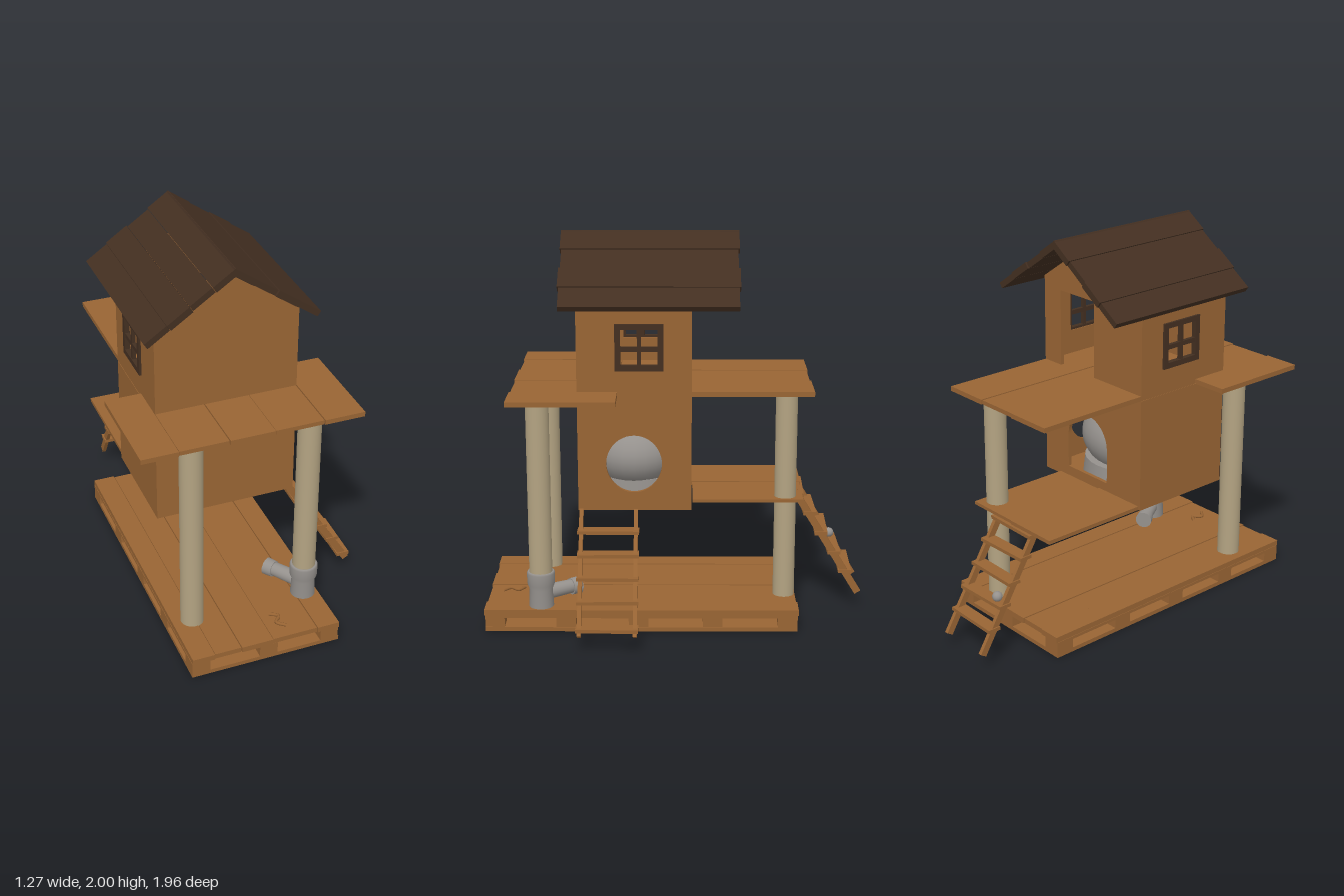
import * as THREE from 'three';

const mat = (name, color, side = THREE.FrontSide) => {
  const m = new THREE.MeshStandardMaterial({ color, side });
  m.name = name;
  return m;
};

export function createModel() {
  const root = new THREE.Group();
  root.name = 'twoStoreyPlayhouse';
  const wood = mat('wood', 0x996534);
  const dark = mat('darkWood', 0x432f21);
  const rope = mat('rope', 0xb3a382);
  const grey = mat('greyFabric', 0x95918d);

  const add = (name, geo, m, x = 0, y = 0, z = 0, parent = root) => {
    const mesh = new THREE.Mesh(geo, m);
    mesh.name = name;
    mesh.position.set(x, y, z);
    parent.add(mesh);
    return mesh;
  };
  // Box given by its minimum and maximum corners
  const box = (name, m, x0, x1, y0, y1, z0, z1, parent = root) =>
    add(name, new THREE.BoxGeometry(x1 - x0, y1 - y0, z1 - z0), m,
      (x0 + x1) / 2, (y0 + y1) / 2, (z0 + z1) / 2, parent);
  // Row of boards lying along z, split at the listed x values, with uneven ends
  const deck = (name, xs, y0, y1, z0, z1) => {
    const g = new THREE.Group();
    g.name = name;
    for (let i = 0; i < xs.length - 1; i++) {
      const e = (i % 2) * 0.006;
      box('board', wood, xs[i] + 0.002, xs[i + 1] - 0.002, y0, y1 - e * 0.5, z0 + e, z1 - e, g);
    }
    root.add(g);
  };
  const outline = (pts) => new THREE.Shape(pts.map(([a, b]) => new THREE.Vector2(a, b)));
  const rectPath = (a0, a1, b0, b1) => new THREE.Path(
    [[a0, b0], [a0, b1], [a1, b1], [a1, b0]].map(([a, b]) => new THREE.Vector2(a, b)));
  const T = 0.02; // wall thickness
  const panel = (shape) => new THREE.ExtrudeGeometry(shape, { depth: T, bevelEnabled: false, curveSegments: 24 });
  const X0 = -0.45, X1 = 0.28, Z0 = -0.08, Z1 = 0.49, MID = -0.085;

  // Pallet base
  deck('palletTop', [-0.45, -0.33, -0.19, -0.02, 0.22, 0.34], 0.085, 0.115, -0.63, 0.98);
  box('palletBottom', wood, -0.45, 0.34, 0, 0.022, -0.625, 0.975);
  for (const x of [-0.40, -0.04, 0.29]) {
    for (const z of [-0.575, -0.19, 0.19, 0.56, 0.925]) {
      box('palletBlock', wood, x - 0.05, x + 0.045, 0.022, 0.085, z - 0.05, z + 0.05);
    }
    box('palletStringer', wood, x - 0.05, x + 0.045, 0.07, 0.086, -0.62, 0.97);
  }

  // Middle floor and the rear landing
  box('lowerFloor', wood, X0, X1, 0.635, 0.655, Z0, Z1);
  deck('rearLanding', [-0.44, -0.14, 0.16], 0.635, 0.655, -0.66, Z0);
  for (const [dx, dz, r] of [[0, 0, 0.08], [0.1, 0.02, 0.05], [-0.08, 0.07, 0.05], [-0.03, -0.1, 0.05], [0.05, 0.1, 0.045]]) {
    add('floorPatch', new THREE.CylinderGeometry(r, r, 0.004, 16), dark, -0.065 + dx, 0.633, 0.085 + dz);
  }

  // Upper floor: wide front balcony, narrower rear terrace
  deck('frontBalcony', [-0.64, -0.45, -0.2, 0.03, 0.28, 0.49], 1.225, 1.25, 0.29, 0.825);
  deck('rearTerrace', [-0.45, -0.2, 0.03, 0.28], 1.225, 1.25, -0.69, 0.29);

  // Lower room: solid front and left, arched back entry, round side hole
  const lowY0 = 0.655, lowY1 = 1.225;
  box('lowerFrontWall', wood, X0, X1, lowY0, lowY1, Z1 - T, Z1);
  box('lowerLeftWall', wood, X0, X0 + T, lowY0, lowY1, Z0, Z1);
  const lowBack = outline([[X0, lowY0], [X1, lowY0], [X1, lowY1], [X0, lowY1]]);
  const arch = new THREE.Path();
  arch.moveTo(-0.2, 0.7);
  arch.lineTo(0.1, 0.7);
  arch.lineTo(0.1, 0.88);
  arch.absarc(-0.05, 0.88, 0.15, 0, Math.PI, false);
  arch.lineTo(-0.2, 0.7);
  lowBack.holes.push(arch);
  add('lowerBackWall', panel(lowBack), wood, 0, 0, Z0);
  const lowSide = outline([[Z0, lowY0], [Z1, lowY0], [Z1, lowY1], [Z0, lowY1]]);
  const hole = new THREE.Path();
  hole.absellipse(0.208, 0.878, 0.14, 0.148, 0, Math.PI * 2, true);
  lowSide.holes.push(hole);
  add('lowerSideWall', panel(lowSide).rotateY(-Math.PI / 2), wood, X1, 0, 0);

  // Soft cushion filling the lower room
  add('cushion', new THREE.SphereGeometry(1, 28, 18).scale(0.31, 0.2, 0.255), grey, -0.1, 0.86, 0.21);
  add('cushionSeat', new THREE.CylinderGeometry(0.25, 0.26, 0.1, 28), grey, -0.09, 0.706, 0.2);

  // Upper room: gabled ends, doorway at the back, window in each side
  const eave = 1.702, apex = 1.952, up = 1.25;
  const gable = (pts) => outline([[X0, up], ...pts, [X1, up], [X1, eave], [MID, apex], [X0, eave]]);
  add('upperFrontWall', panel(gable([])), wood, 0, 0, Z1 - T);
  add('upperBackWall', panel(gable([[-0.1, up], [-0.1, 1.65], [0.155, 1.65], [0.155, up]])), wood, 0, 0, Z0);
  for (const s of [0, 1]) {
    const side = outline([[Z0, up], [Z1, up], [Z1, eave], [Z0, eave]]);
    side.holes.push(rectPath(0.075, 0.285, 1.375, 1.575));
    add('upperSideWall', panel(side).rotateY(-Math.PI / 2), wood, s ? X1 : X0 + T, 0, 0);

    // Window frame with crossed bars
    const win = new THREE.Group();
    win.name = 'window';
    const a = s ? X1 - 0.015 : X0 - 0.012, b = a + 0.027;
    box('frameTop', dark, a, b, 1.565, 1.592, 0.06, 0.3, win);
    box('frameBottom', dark, a, b, 1.358, 1.387, 0.06, 0.3, win);
    box('frameRear', dark, a, b, 1.358, 1.592, 0.06, 0.088, win);
    box('frameFront', dark, a, b, 1.358, 1.592, 0.272, 0.3, win);
    box('uprightBar', dark, a + 0.004, b - 0.004, 1.37, 1.58, 0.17, 0.19, win);
    box('crossBar', dark, a + 0.004, b - 0.004, 1.455, 1.478, 0.07, 0.29, win);
    root.add(win);
  }

  // Plank roof, boards running front to back
  const slope = Math.atan(0.69), planks = 4, run = 0.443 / Math.cos(slope) / planks;
  for (const s of [-1, 1]) {
    const half = new THREE.Group();
    half.name = 'roofSlope';
    half.position.set(MID, 1.998, 0);
    half.rotation.z = -s * slope;
    for (let i = 0; i < planks; i++) {
      const e = (i % 2) * 0.008;
      const x0 = i * run - (i ? 0 : 0.003), x1 = (i + 1) * run - 0.002;
      box('roofPlank', dark, s > 0 ? x0 : -x1, s > 0 ? x1 : -x0, -0.034, -e * 0.4, -0.32 + e, 0.58 - e, half);
    }
    root.add(half);
  }

  // Rope-wrapped posts
  for (const [x, z, r] of [[-0.345, 0.69, 0.059], [0.265, 0.69, 0.059], [0.088, -0.565, 0.056]]) {
    add('post', new THREE.CylinderGeometry(r, r, 1.12, 24), rope, x, 0.67, z);
  }

  // Grey sleeve with a side tunnel at the foot of one post
  const pipe = new THREE.Group();
  pipe.name = 'pipeSleeve';
  pipe.position.set(0.265, 0, 0.69);
  pipe.rotation.y = Math.atan2(-0.135, -0.2);
  const profile = [[0.058, 0.112], [0.064, 0.115], [0.06, 0.21], [0.07, 0.235], [0.072, 0.295], [0.066, 0.305], [0.057, 0.302]];
  add('sleeve', new THREE.LatheGeometry(profile.map(([r, y]) => new THREE.Vector2(r, y)), 24), grey, 0, 0, 0, pipe);
  add('branch', new THREE.CylinderGeometry(0.035, 0.04, 0.2, 20).rotateX(Math.PI / 2), grey, 0, 0.18, 0.12, pipe);
  add('branchCollar', new THREE.CylinderGeometry(0.045, 0.043, 0.05, 20).rotateX(Math.PI / 2), grey, 0, 0.178, 0.2, pipe);
  root.add(pipe);

  // Ladders: local +x is outward, treads run along z
  const ladder = (name, reach, top, bottom, treadYs) => {
    const g = new THREE.Group();
    g.name = name;
    const h = top - bottom, len = Math.hypot(reach, h);
    for (const s of [-1, 1]) {
      const rail = add('rail', new THREE.BoxGeometry(len, 0.036, 0.02), wood, reach / 2, (top + bottom) / 2, s * 0.138, g);
      rail.rotation.z = -Math.atan2(h, reach);
    }
    treadYs.forEach((y, i) => {
      const x = reach * (top - y) / h;
      const tread = box('tread', wood, x - 0.03, x + 0.038, y - 0.009, y + 0.009, -0.155, 0.155, g);
      tread.rotation.y = (i % 2 ? 1 : -1) * 0.02;
    });
    root.add(g);
    return g;
  };
  ladder('sideLadder', 0.35, 0.64, 0.085, [0.54, 0.438, 0.338, 0.238, 0.12]).position.set(0.26, 0, 0.338);
  const rear = ladder('rearLadder', 0.345, 0.645, 0.08, [0.625, 0.523, 0.412, 0.305, 0.2]);
  rear.position.set(-0.15, 0, -0.622);
  rear.rotation.y = Math.PI / 2;

  // Small toys: a ball on the rear ladder and a twig on the base
  add('toyBall', new THREE.SphereGeometry(0.026, 14, 10), grey, -0.24, 0.335, -0.83);
  const twig = new THREE.CatmullRomCurve3([[0.03, 0.8], [0.07, 0.83], [0.04, 0.87], [0.08, 0.91]]
    .map(([x, z]) => new THREE.Vector3(x, 0.12, z)));
  add('twig', new THREE.TubeGeometry(twig, 16, 0.009, 6), wood);

  return root;
}
